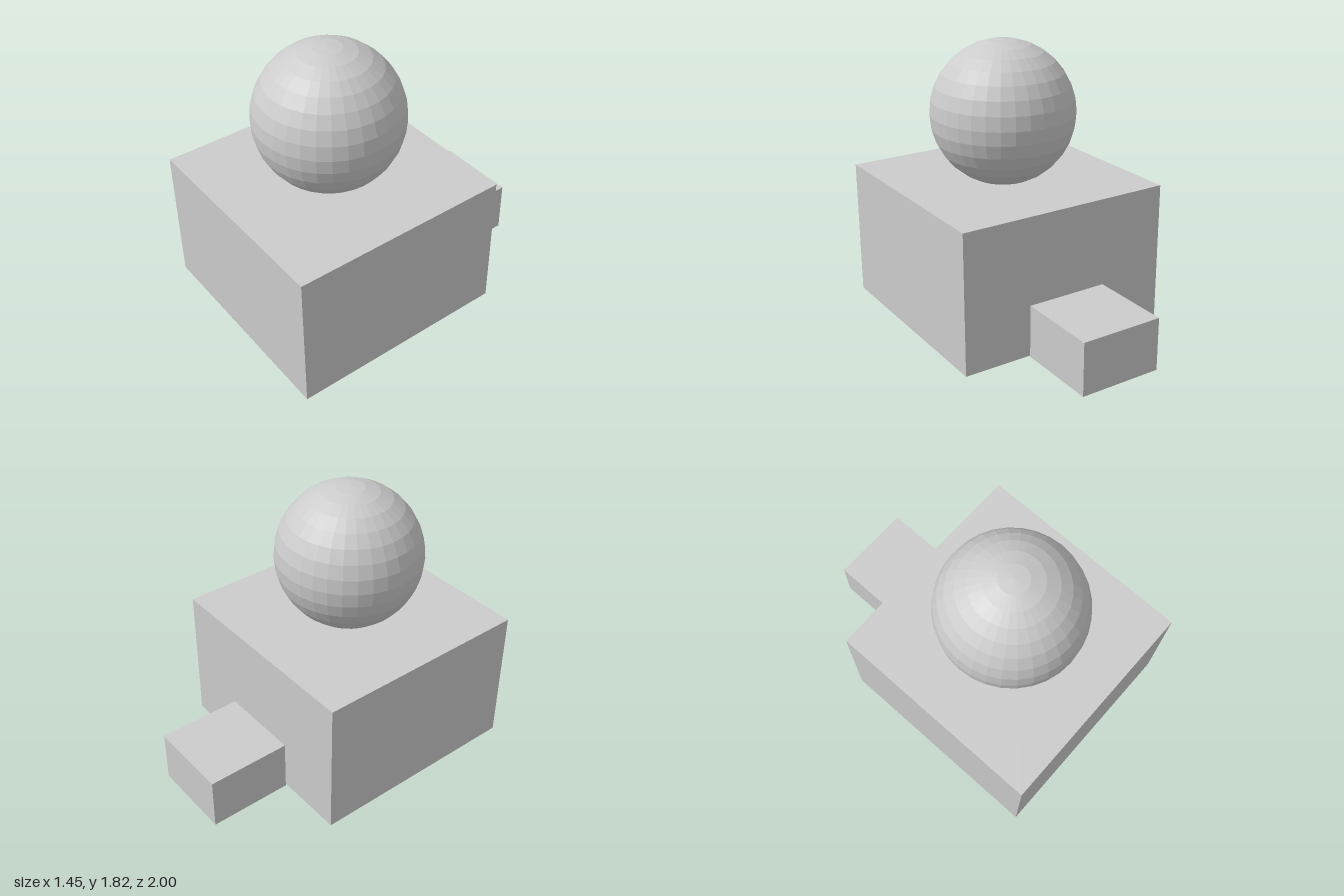
import * as THREE from 'three';

export function createModel() {
  const model = new THREE.Group();
  const material = new THREE.MeshStandardMaterial({ color: 0xcccccc, flatShading: true });

  const addPart = (name, geometry, x, y, z) => {
    const mesh = new THREE.Mesh(geometry, material);
    mesh.name = name;
    mesh.position.set(x, y, z);
    model.add(mesh);
  };

  // Large block, its underside a hair above the ground
  addPart('mainBlock', new THREE.BoxGeometry(1.446, 0.917, 1.446), 0, 0.4615, 0.277);

  // Small block behind it, separated by a thin gap
  addPart('rearStep', new THREE.BoxGeometry(0.546, 0.348, 0.546), 0, 0.174, -0.727);

  // Faceted ball sunk slightly into the top
  addPart('ball', new THREE.SphereGeometry(0.471, 32, 16), 0, 1.348, 0.275);

  return model;
}
